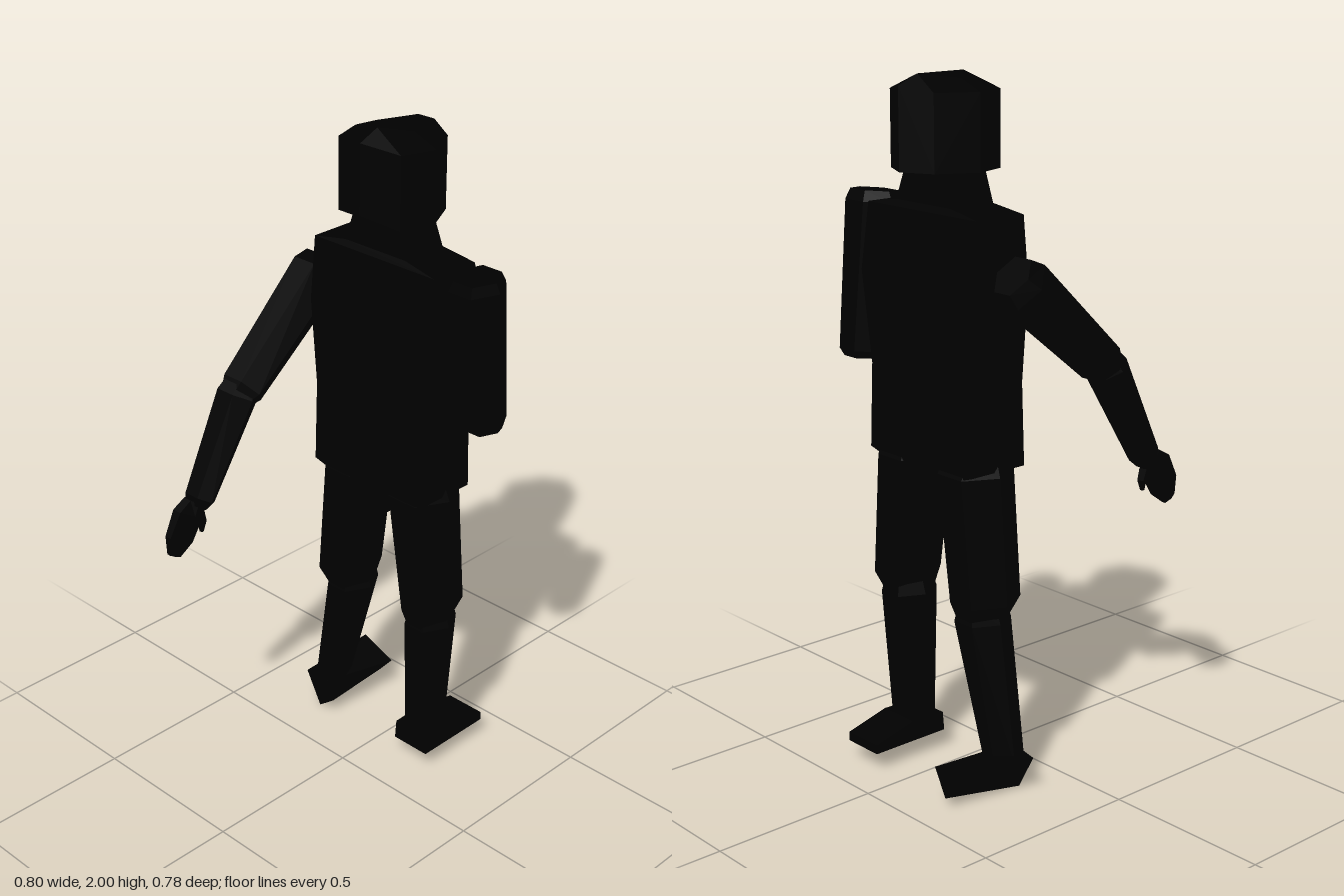
import * as THREE from 'three';
import { ConvexGeometry } from 'three/addons/geometries/ConvexGeometry.js';

const material = new THREE.MeshStandardMaterial({ color: 0x000000, flatShading: true });

// Closed loft through rings listed from top to bottom.
// ring: [x, y, z, half width across, half width in z, tilt about z]
function loft(rings, sides = 6, phase = Math.PI / 6) {
  const pos = [], idx = [];
  const angles = Array.from({ length: sides }, (_, k) => phase + (k / sides) * Math.PI * 2);
  const maxC = Math.max(...angles.map((a) => Math.abs(Math.cos(a))));
  const maxS = Math.max(...angles.map((a) => Math.abs(Math.sin(a))));
  for (const [x, y, z, u, w, tilt = 0] of rings) {
    for (const a of angles) {
      const d = (u * Math.cos(a)) / maxC;
      pos.push(x + d * Math.cos(tilt), y + d * Math.sin(tilt), z + (w * Math.sin(a)) / maxS);
    }
  }
  const last = (rings.length - 1) * sides;
  for (let k = 0; k < sides; k++) {
    const n = (k + 1) % sides;
    for (let i = 0; i < last; i += sides) {
      idx.push(i + k, i + n, i + sides + k, i + n, i + sides + n, i + sides + k);
    }
    if (k > 0 && k < sides - 1) idx.push(0, n, k, last, last + k, last + n);
  }
  const g = new THREE.BufferGeometry();
  g.setAttribute('position', new THREE.Float32BufferAttribute(pos, 3));
  g.setIndex(idx);
  const flat = g.toNonIndexed();
  flat.computeVertexNormals();
  return flat;
}

const hull = (points) => new ConvexGeometry(points.map((p) => new THREE.Vector3(...p)));

export function createModel() {
  const model = new THREE.Group();
  const add = (name, geometry) => {
    const mesh = new THREE.Mesh(geometry, material);
    mesh.name = name;
    model.add(mesh);
  };

  // Head: eight-sided block with a ridged crown
  const outline = [[0.065, 0], [0.355, 0]];
  for (const s of [-1, 1]) outline.push([0.1, 0.115 * s], [0.2, 0.148 * s], [0.31, 0.09 * s]);
  const headPoints = [[0.13, 2, 0], [0.29, 2, 0]];
  for (const [x, z] of outline) {
    headPoints.push([x, x < 0.08 ? 1.77 : 1.747, z], [x, z === 0 ? 1.972 : 1.957, z]);
  }
  for (const s of [-1, 1]) headPoints.push([0.2, 1.988, 0.07 * s]);
  add('head', hull(headPoints));

  // Neck, shoulders, chest, waist and pelvis
  add('torso', loft([
    [0.197, 1.76, 0, 0.07, 0.078],
    [0.2, 1.655, 0, 0.075, 0.113],
    [0.2, 1.637, 0, 0.083, 0.225],
    [0.205, 1.45, 0, 0.105, 0.226],
    [0.2, 1.18, 0, 0.082, 0.222],
    [0.2, 0.94, 0, 0.096, 0.216],
    [0.2, 0.9, 0, 0.085, 0.1],
    [0.2, 0.83, 0, 0.06, 0.03],
  ], 4, Math.PI / 4));

  // Shortened arm on the +z side
  add('shortArm', loft([
    [0.19, 1.65, 0.315, 0.06, 0.066, 0.1],
    [0.195, 1.62, 0.311, 0.071, 0.08, 0.1],
    [0.247, 1.2, 0.308, 0.058, 0.067, 0.1],
    [0.247, 1.178, 0.308, 0.047, 0.052, 0.1],
  ]));

  // Full arm on the -z side, swung back
  add('upperArm', loft([
    [0.234, 1.5, -0.31, 0.056, 0.06, -0.85],
    [0.205, 1.472, -0.311, 0.071, 0.08, -0.85],
    [-0.1, 1.212, -0.304, 0.056, 0.07, -0.85],
    [-0.132, 1.188, -0.304, 0.04, 0.05, -0.85],
  ]));
  add('forearm', loft([
    [-0.105, 1.225, -0.306, 0.042, 0.05, -0.5],
    [-0.12, 1.195, -0.306, 0.052, 0.064, -0.5],
    [-0.272, 0.918, -0.309, 0.037, 0.051, -0.5],
    [-0.286, 0.893, -0.31, 0.028, 0.035, -0.5],
  ]));
  add('hand', loft([
    [-0.295, 0.915, -0.314, 0.024, 0.028, -0.5],
    [-0.315, 0.88, -0.314, 0.048, 0.03, -0.5],
    [-0.355, 0.81, -0.312, 0.047, 0.022, -0.5],
    [-0.378, 0.765, -0.311, 0.022, 0.012, -0.5],
  ]));
  add('thumb', loft([
    [-0.28, 0.875, -0.308, 0.014, 0.014],
    [-0.272, 0.84, -0.305, 0.012, 0.012],
    [-0.276, 0.808, -0.303, 0.005, 0.006],
  ], 4));

  // Legs: hip, knee and ankle depth differ per side
  const legs = [
    { side: 'near', hip: 0.13, knee: 0.176, ankle: 0.16, w: 0.08, ankleW: 0.058 },
    { side: 'far', hip: -0.128, knee: -0.163, ankle: -0.24, w: 0.09, ankleW: 0.044 },
  ];
  for (const { side, hip, knee, ankle, w, ankleW } of legs) {
    add(side + 'Thigh', loft([
      [0.2, 0.965, hip, 0.08, 0.085],
      [0.203, 0.925, hip, 0.096, 0.1],
      [0.2, 0.56, knee, 0.091, w],
      [0.2, 0.505, knee * 0.95, 0.07, w * 0.7],
    ]));
    add(side + 'Shin', loft([
      [0.205, 0.55, knee * 0.95, 0.06, 0.06],
      [0.203, 0.5, knee * 0.95, 0.073, 0.074],
      [0.197, 0.09, ankle, 0.055, ankleW],
    ]));
  }

  // Flat foot: low wedge thinning to the toe
  const foot = [];
  for (const z of [0.09, 0.218]) {
    foot.push([0.14, 0.058, z], [0.395, 0.058, z], [0.395, 0.085, z], [0.145, 0.115, z], [0.26, 0.12, z]);
  }
  add('nearFoot', hull(foot));

  // Foot rolled onto its edge
  add('farFoot', hull([
    [0.15, 0.11, -0.308], [0.15, 0.003, -0.25], [0.15, 0.05, -0.19], [0.14, 0.12, -0.21],
    [0.385, 0.105, -0.158], [0.4, 0.036, -0.22], [0.386, 0.15, -0.277],
  ]));

  return model;
}
